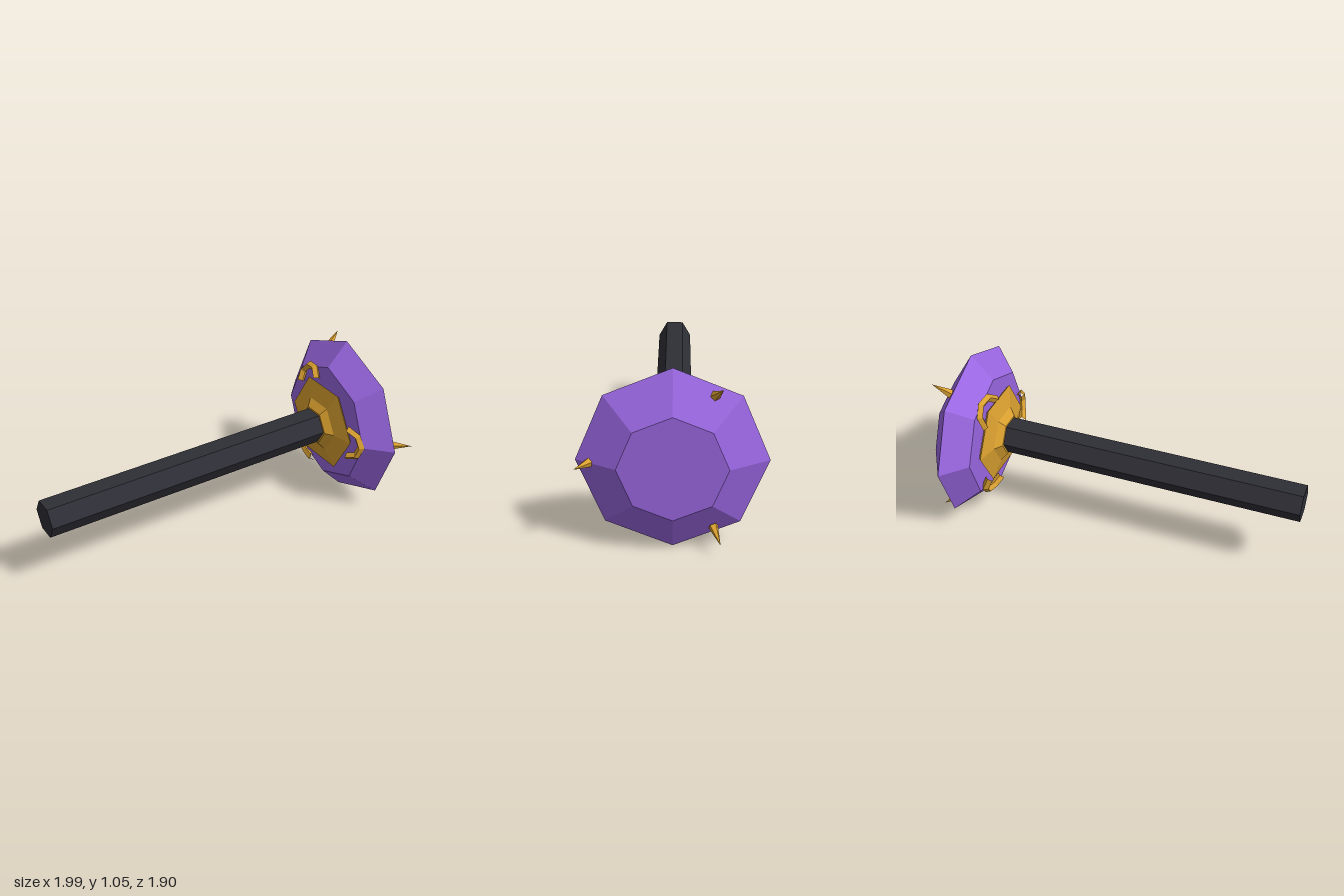
import * as THREE from 'three';

export function createModel() {
  const material = (name, color) => {
    const m = new THREE.MeshStandardMaterial({ color, flatShading: true });
    m.name = name;
    return m;
  };
  const purple = material('gem purple', 0x9966e0);
  const gold = material('gold', 0xdaa030);
  const dark = material('dark handle', 0x2e2e36);

  const model = new THREE.Group();
  model.name = 'gemHammer';

  // Local frame: y runs along the handle, z is world up, origin at the gem centre
  const tool = new THREE.Group();
  tool.name = 'tool';
  const k = Math.SQRT1_2;
  tool.quaternion.setFromRotationMatrix(new THREE.Matrix4().makeBasis(
    new THREE.Vector3(k, 0, k), new THREE.Vector3(k, 0, -k), new THREE.Vector3(0, 1, 0)));
  tool.position.set(0.53, 0.527, -0.58);
  model.add(tool);

  const add = (name, geometry, mat, parent = tool) => {
    const mesh = new THREE.Mesh(geometry, mat);
    mesh.name = name;
    parent.add(mesh);
    return mesh;
  };
  const lathe = (profile, sides) =>
    new THREE.LatheGeometry(profile.map(([r, y]) => new THREE.Vector2(r, y)), sides);

  // Faceted octagonal gem
  add('gem', lathe([[0, -0.135], [0.38, -0.135], [0.523, 0], [0.3, 0.13], [0, 0.13]], 8), purple);

  // Hexagonal handle, flats up and down
  const handle = new THREE.CylinderGeometry(0.108, 0.108, 1.85, 6).rotateY(Math.PI / 6);
  handle.translate(0, -1.125, 0);
  add('handle', handle, dark);

  // Flared collar between handle and gem
  add('collar', lathe([[0, -0.23], [0.12, -0.23], [0.17, -0.195], [0.297, -0.165], [0.28, -0.15], [0, -0.15]], 6)
    .rotateY(Math.PI / 6), gold);

  // Three claws and three spikes spaced evenly around the axis
  for (let i = 0; i < 3; i++) {
    const sector = new THREE.Group();
    sector.name = 'setting' + (i + 1);
    sector.rotation.y = -i * Math.PI * 2 / 3;
    tool.add(sector);

    // Claw: angular half ring bowed outward and leaning into the gem
    const claw = new THREE.TorusGeometry(0.095, 0.024, 4, 4, Math.PI);
    claw.rotateZ(-Math.PI / 2).rotateX(Math.PI / 2).rotateZ(0.4);
    add('claw', claw, gold, sector).position.set(0.28, -0.175, 0);

    // Spike on the back bevel, leaning outward
    const spike = add('spike', new THREE.ConeGeometry(0.028, 0.125, 5), gold, sector);
    const dir = new THREE.Vector3(0.63, 0.78, 0).normalize();
    spike.quaternion.setFromUnitVectors(new THREE.Vector3(0, 1, 0), dir);
    spike.position.set(0.52, 0.13, 0).addScaledVector(dir, -0.0625);
  }
  return model;
}
